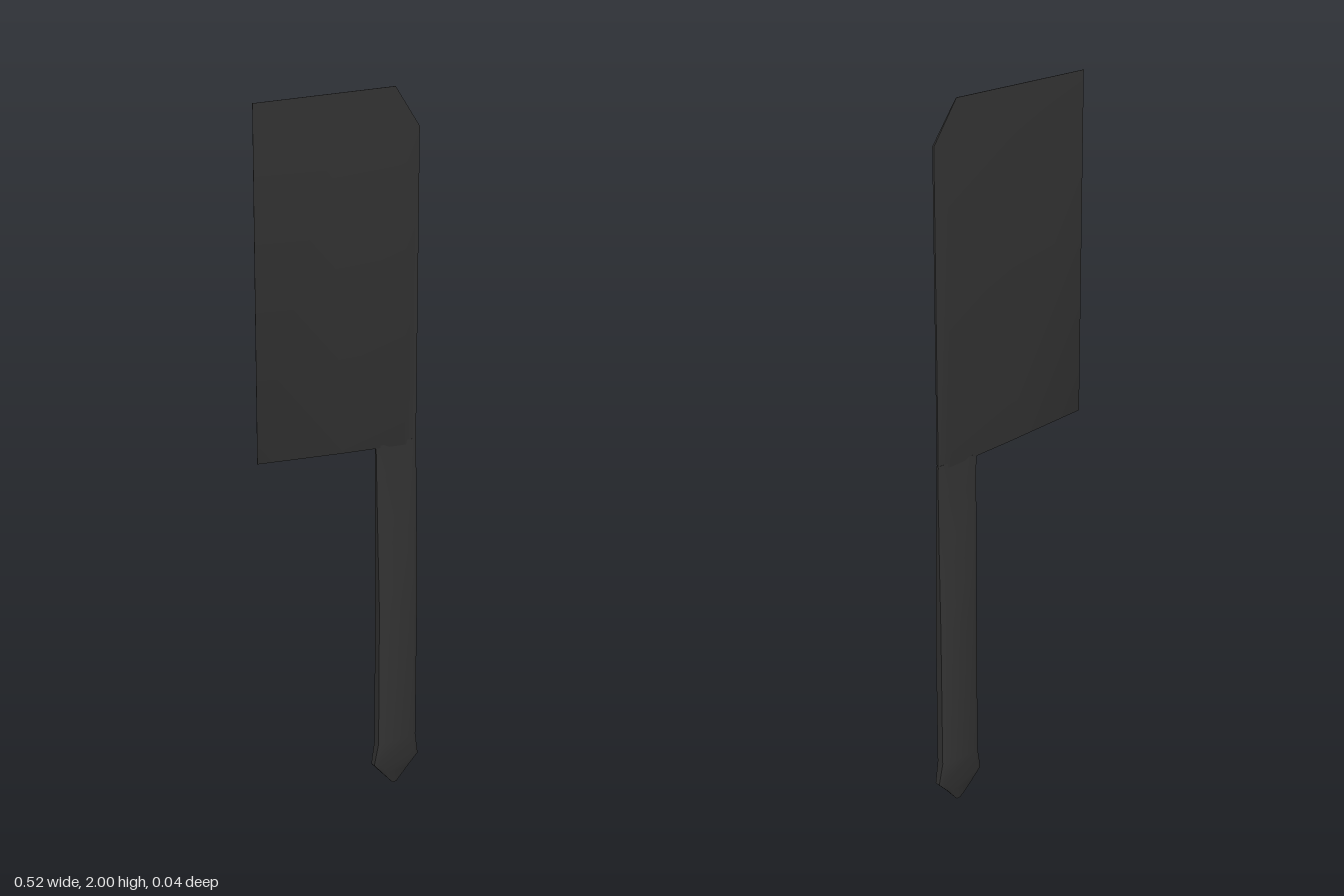
import * as THREE from 'three';
import { toCreasedNormals } from 'three/addons/utils/BufferGeometryUtils.js';

const dark = new THREE.MeshStandardMaterial({ color: 0x333333 });

// Skin a stack of rings (bottom to top, each counterclockwise from above) and cap both ends
function loft(name, rings) {
  const n = rings[0].length, index = [];
  for (let r = 0; r < rings.length - 1; r++) {
    for (let i = 0; i < n; i++) {
      const a = r * n + i, b = r * n + (i + 1) % n;
      index.push(a, b, b + n, a, b + n, a + n);
    }
  }
  const top = (rings.length - 1) * n;
  for (let i = 1; i < n - 1; i++) {
    index.push(0, i + 1, i, top, top + i, top + i + 1);
  }
  const geometry = new THREE.BufferGeometry();
  geometry.setAttribute('position', new THREE.Float32BufferAttribute(rings.flat(2), 3));
  geometry.setIndex(index);
  const mesh = new THREE.Mesh(toCreasedNormals(geometry, 0.6), dark);
  mesh.name = name;
  return mesh;
}

// Blade row: points [x, y, half thickness] from cutting edge to spine, mirrored to the back
function bladeRing(row) {
  const front = row.map(([x, y, t]) => [x, y, t]);
  const back = row.map(([x, y, t]) => [x, y, -t]).reverse();
  return [...front, ...back];
}

// Handle section: a flat bar with chamfered corners
function handleRing([y, x0, x1, t]) {
  const c = Math.min(0.014, (x1 - x0) * 0.3), s = t * 0.6;
  return [
    [x0, y, s], [x0 + c, y, t], [x1 - c, y, t], [x1, y, s],
    [x1, y, -s], [x1 - c, y, -t], [x0 + c, y, -t], [x0, y, -s],
  ];
}

export function createModel() {
  const group = new THREE.Group();
  group.name = 'cleaver';

  // Wedge blade: slanted heel, shoulder line, then a bevelled tip with a clipped corner
  group.add(loft('blade', [
    [[-0.26, 1.056, 0.0004], [0, 1.036, 0.0035], [0.2, 1.023, 0.005], [0.24, 1.02, 0.003]],
    [[-0.26, 1.86, 0.0004], [-0.03, 1.87, 0.0035], [0.2, 1.885, 0.005], [0.24, 1.89, 0.003]],
    [[-0.26, 2, 0.0004], [-0.06, 2, 0.0008], [0.13, 2, 0.001], [0.165, 2, 0.001]],
  ].map(bladeRing)));

  // Handle: [y, left x, right x, half thickness], ending in a flared pointed butt
  group.add(loft('handle', [
    [0, 0.174, 0.188, 0.001],
    [0.04, 0.138, 0.222, 0.009],
    [0.075, 0.107, 0.256, 0.013],
    [0.14, 0.119, 0.245, 0.018],
    [0.55, 0.119, 0.245, 0.018],
    [0.75, 0.115, 0.244, 0.012],
    [0.94, 0.112, 0.242, 0.006],
    [1.035, 0.11, 0.241, 0.0045],
  ].map(handleRing)));

  return group;
}
